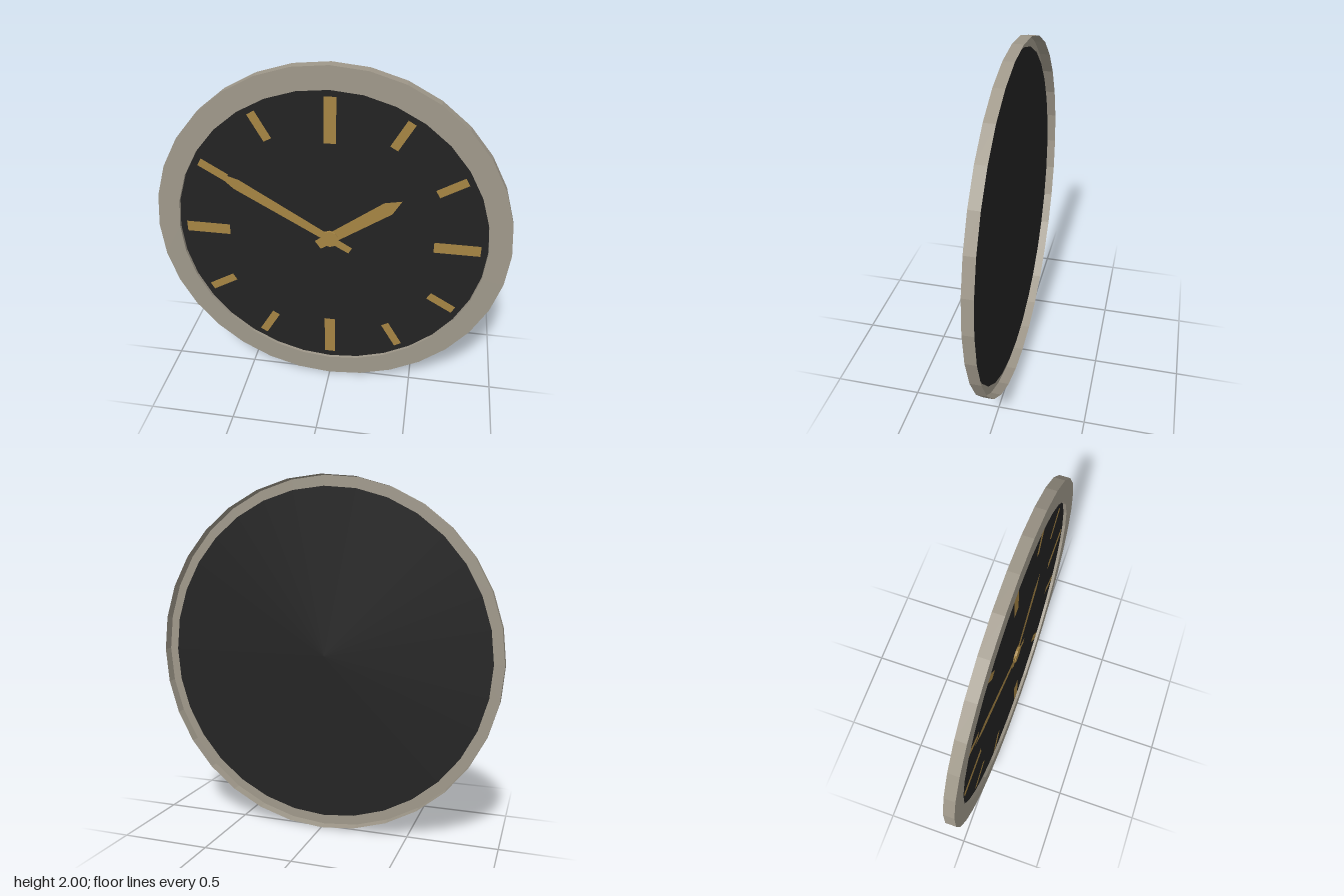
import * as THREE from 'three';

const SIDES = 32;
const FACE_Z = 0.012;

export function createModel() {
  const mat = (name, color) => {
    const m = new THREE.MeshStandardMaterial({ color, flatShading: true, side: THREE.DoubleSide });
    m.name = name;
    return m;
  };
  const rimMat = mat('warm grey rim', 0x9f988a);
  const dialMat = mat('black dial', 0x232323);
  const goldMat = mat('gold', 0xa58443);

  const clock = new THREE.Group();
  clock.name = 'wallClock';
  clock.position.y = 1;
  const add = (name, geometry, material, z = 0, angle = 0) => {
    const mesh = new THREE.Mesh(geometry, material);
    mesh.name = name;
    mesh.position.z = z;
    mesh.rotation.z = angle;
    clock.add(mesh);
    return mesh;
  };

  // Rim: open-backed shell with outer wall, front ring and inner lip
  const profile = [[1, -0.03], [1, 0.03], [0.875, 0.03], [0.875, FACE_Z]];
  const rim = new THREE.LatheGeometry(profile.map(p => new THREE.Vector2(...p)), SIDES);
  rim.rotateX(Math.PI / 2);
  add('rim', rim, rimMat);

  // Dial, also seen from the open back
  add('dial', new THREE.CircleGeometry(0.94, SIDES), dialMat, FACE_Z);

  // Hour markers: long ones at the quarters
  for (let i = 0; i < 12; i++) {
    const quarter = i % 3 === 0;
    const inner = quarter ? 0.58 : 0.665;
    const outer = 0.835;
    const marker = new THREE.PlaneGeometry(outer - inner, quarter ? 0.065 : 0.048);
    marker.translate((inner + outer) / 2, 0, 0);
    add(quarter ? 'quarterMarker' : 'hourMarker', marker, goldMat, FACE_Z + 0.003, i * Math.PI / 6);
  }

  // Hands: tapered plates lying along +x, then turned
  const hand = (tail, tailHalf, shoulder, shoulderHalf, tip) => {
    const points = [
      [-tail, -tailHalf], [shoulder, -shoulderHalf], [tip, 0],
      [shoulder, shoulderHalf], [-tail, tailHalf],
    ];
    return new THREE.ShapeGeometry(new THREE.Shape(points.map(p => new THREE.Vector2(...p))));
  };
  const deg = THREE.MathUtils.degToRad;
  add('hourHand', hand(0.085, 0.03, 0.39, 0.04, 0.48), goldMat, 0.019, deg(35));
  add('minuteHand', hand(0.135, 0.021, 0.6, 0.033, 0.75), goldMat, 0.023, deg(150));

  // Centre cap
  const cap = new THREE.CylinderGeometry(0.05, 0.05, 0.014, 10);
  cap.rotateX(Math.PI / 2);
  add('centreCap', cap, goldMat, 0.021);

  const model = new THREE.Group();
  model.name = 'model';
  model.add(clock);
  return model;
}
